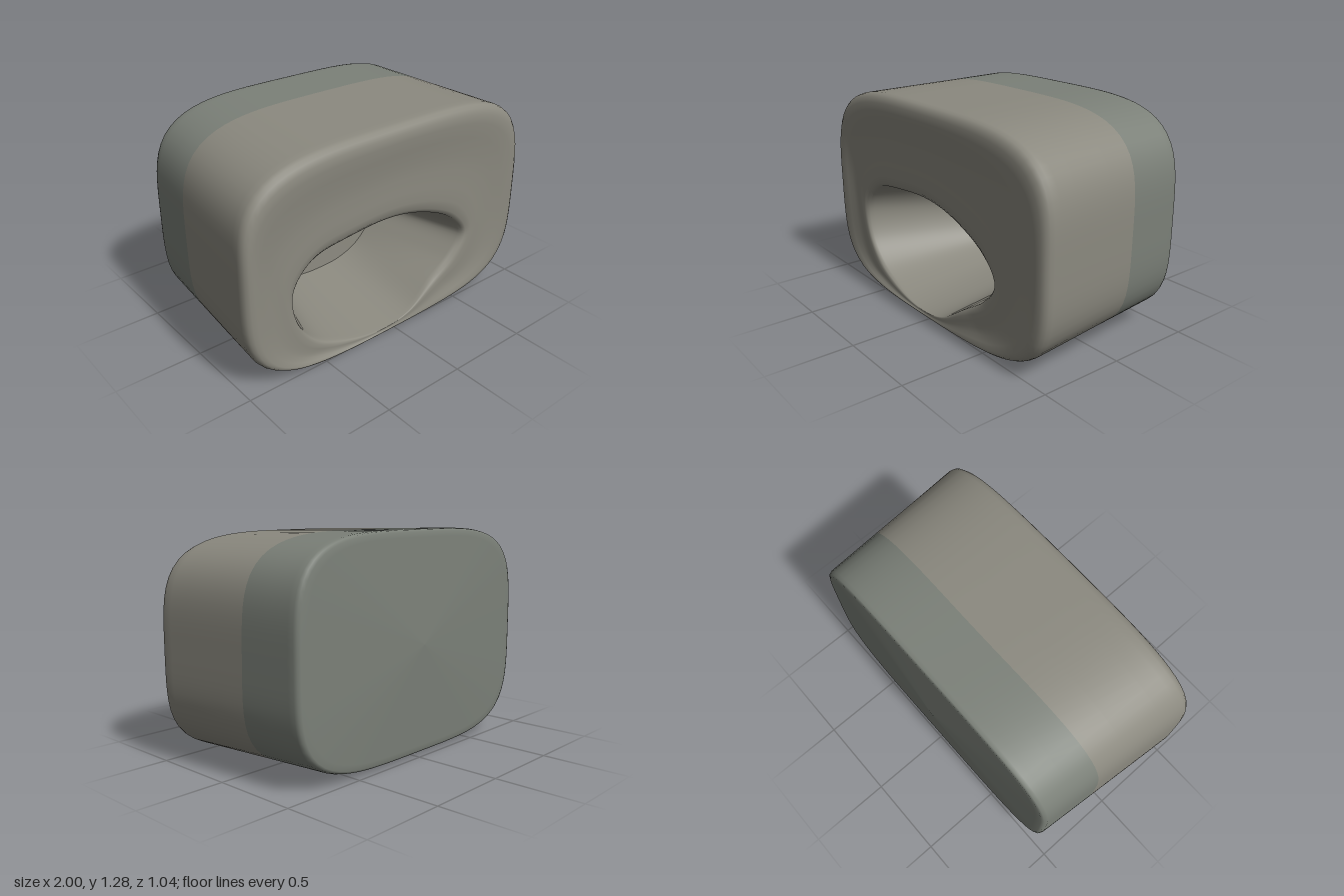
import * as THREE from 'three';

const N = 112;
const angles = Array.from({ length: N }, (_, i) => (i / N) * Math.PI * 2);
const lerp = THREE.MathUtils.lerp;

// Skin a list of closed rings (arrays of N Vector3) with smooth normals
function loft(name, rings, color) {
  const index = [];
  for (let i = 0; i < rings.length - 1; i++) {
    for (let j = 0; j < N; j++) {
      const k = (j + 1) % N;
      const a = i * N + j, b = i * N + k, c = b + N, d = a + N;
      index.push(a, b, c, a, c, d);
    }
  }
  const geometry = new THREE.BufferGeometry().setFromPoints(rings.flat());
  geometry.setIndex(index);
  geometry.computeVertexNormals();
  const mesh = new THREE.Mesh(geometry, new THREE.MeshStandardMaterial({ color }));
  mesh.name = name;
  return mesh;
}

// Rounded-rectangle section; the body narrows and rises slightly to the back
function bodyRing(zAt, scale = 1) {
  return angles.map((t) => {
    const c = Math.cos(t), s = Math.sin(t);
    const z = typeof zAt === 'function' ? zAt(c, s) : zAt;
    const f = THREE.MathUtils.clamp((0.46 - z) / 0.95, 0, 1);
    const a = lerp(1, 0.92, f), b = 0.627;
    const r = scale * Math.pow(Math.abs(c / a) ** 4 + Math.abs(s / b) ** 4, -0.25);
    return new THREE.Vector3(r * c, lerp(0.629, 0.652, f) + r * s, z);
  });
}

// Smooth closed outline through a few points, sampled like the body rings
function outline(points, z) {
  const curve = new THREE.CatmullRomCurve3(
    points.map(([x, y]) => new THREE.Vector3(x, y, z)), true);
  return angles.map((t) => curve.getPoint(t / (Math.PI * 2)));
}

const blend = (from, to, k) => from.map((p, i) => p.clone().lerp(to[i], k));

export function createModel() {
  const group = new THREE.Group();
  const frontColor = 0x8b897f, rearColor = 0x7b8078;

  // Slightly tilted seam between the two halves
  const seam = bodyRing((c, s) => -0.125 - 0.02 * s);

  // Rear half: shallow pointed back, tight rounded edge, straight sides
  const back = [0.001, 0.2, 0.4, 0.6, 0.8, 0.93, 0.975].map((k) =>
    bodyRing(lerp(-0.525, -0.492, k), k));
  back.push(bodyRing(-0.485, 0.993), bodyRing(-0.465), bodyRing(-0.43), bodyRing(-0.3), seam);
  group.add(loft('rearBody', back, rearColor));

  // Opening rim and the smaller floor outline behind it
  const rim = outline([
    [0.57, 0.42], [0.47, 0.55], [0.25, 0.66], [0, 0.715], [-0.3, 0.705], [-0.57, 0.65], [-0.69, 0.5],
    [-0.66, 0.3], [-0.53, 0.15], [-0.3, 0.055], [-0.07, 0.028], [0.12, 0.06], [0.3, 0.17], [0.48, 0.29],
  ], 0.5);
  const floor = outline([
    [0.42, 0.42], [0.36, 0.5], [0.2, 0.6], [0, 0.645], [-0.25, 0.645], [-0.42, 0.59], [-0.5, 0.45],
    [-0.47, 0.3], [-0.39, 0.2], [-0.22, 0.138], [-0.05, 0.128], [0.1, 0.143], [0.24, 0.2], [0.35, 0.31],
  ], -0.13);

  // Front half: sides, rounded front edge, gently dished face, then cavity wall
  const edge = bodyRing(0.455);
  const face = (k, z) => blend(edge, rim, k).map((p, i) => {
    const gap = Math.min(1, edge[i].distanceTo(rim[i]) / 0.3);
    return p.setZ(lerp(0.505, z, gap));
  });
  const front = [
    seam, bodyRing(0.05), bodyRing(0.3), bodyRing(0.41), edge,
    face(0.012, 0.48), face(0.04, 0.497), face(0.09, 0.51), face(0.17, 0.512), face(0.3, 0.503),
    face(0.45, 0.493), face(0.6, 0.489), face(0.75, 0.491), face(0.88, 0.492), face(0.96, 0.485),
    face(1, 0.468),
  ];
  const lip = front[front.length - 1];
  for (const k of [0.04, 0.12, 0.35, 0.65, 0.95, 1]) front.push(blend(lip, floor, k));
  group.add(loft('frontBody', front, frontColor));

  // Cavity floor
  const centre = floor.map(() => new THREE.Vector3(-0.04, 0.4, -0.14));
  group.add(loft('cavityFloor', [0, 0.1, 0.5, 0.999].map((k) => blend(floor, centre, k)), frontColor));
  return group;
}
